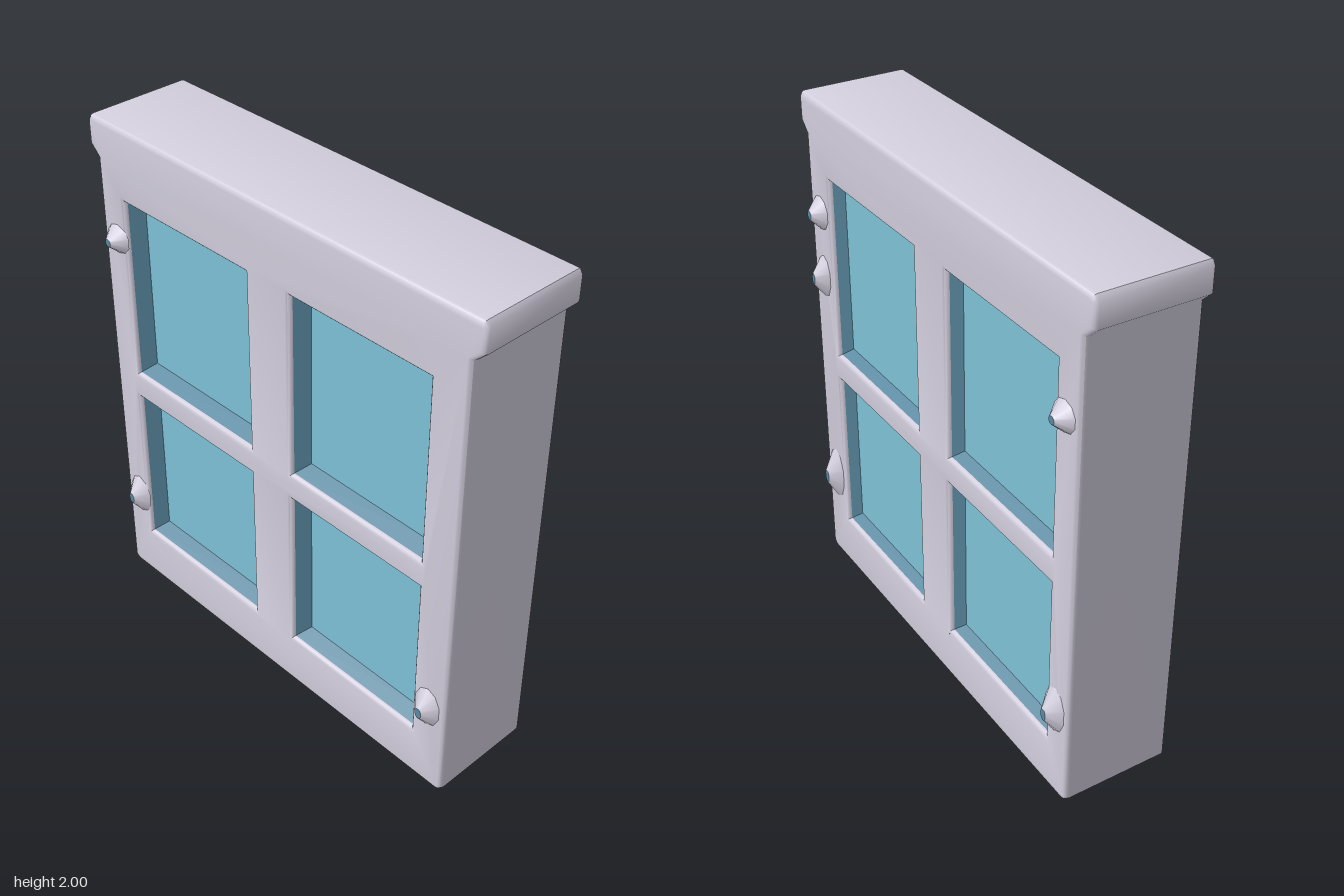
import * as THREE from 'three';
import { toCreasedNormals } from 'three/addons/utils/BufferGeometryUtils.js';

const material = (name, color) => {
  const m = new THREE.MeshStandardMaterial({ color });
  m.name = name;
  return m;
};

const HALF_DEPTH = 0.215;
const BEVEL = 0.018;
const INSET = 0.028;
const OPENINGS = [
  [-0.74, -0.105, 1.0, 1.72], [0.105, 0.715, 1.0, 1.72],
  [-0.74, -0.105, 0.22, 0.89], [0.105, 0.715, 0.22, 0.89],
];
// Glass depth and bumps (x, y, half width, half height) for each face
const FACES = [
  {
    name: 'frontFace', side: 1, recess: 0.055,
    knobs: [[-0.79, 1.56, 0.06, 0.06], [-0.79, 0.39, 0.06, 0.09], [0.785, 0.38, 0.06, 0.09]],
  },
  {
    name: 'backFace', side: -1, recess: 0.035,
    knobs: [[-0.79, 1.55, 0.06, 0.06], [0.79, 1.57, 0.06, 0.07], [0.79, 1.31, 0.05, 0.09],
      [-0.79, 0.38, 0.06, 0.1], [0.79, 0.41, 0.06, 0.12]],
  },
];

// Frame with an overhanging head and four openings
function frameGeometry() {
  const half = [[0.85, 0], [0.87, 0.02], [0.87, 1.85], [0.912, 1.89], [0.912, 1.98], [0.9, 2]];
  const outline = [...half, ...half.map(([x, y]) => [-x, y]).reverse()];
  const shape = new THREE.Shape(outline.map(([x, y]) => new THREE.Vector2(x, y)));
  for (const [x0, x1, y0, y1] of OPENINGS) {
    shape.holes.push(new THREE.Path([[x0, y0], [x0, y1], [x1, y1], [x1, y0]]
      .map(([x, y]) => new THREE.Vector2(x, y))));
  }
  const depth = 2 * (HALF_DEPTH - BEVEL);
  const geometry = new THREE.ExtrudeGeometry(shape, {
    depth, bevelEnabled: true, bevelSize: BEVEL, bevelOffset: -BEVEL,
    bevelThickness: BEVEL, bevelSegments: 3,
  });
  geometry.translate(0, 0, -depth / 2);
  return toCreasedNormals(geometry, 0.85);
}

// Four sloping walls running from the opening down to the glass
function revealGeometry(w, h, recess) {
  const corners = [[-1, -1], [1, -1], [1, 1], [-1, 1]];
  const outer = corners.map(([x, y]) => [x * w / 2, y * h / 2, 0]);
  const inner = corners.map(([x, y]) => [x * (w / 2 - INSET), y * (h / 2 - INSET), -recess]);
  const points = [];
  for (let i = 0; i < 4; i++) {
    const j = (i + 1) % 4;
    points.push(...outer[i], ...outer[j], ...inner[j], ...outer[i], ...inner[j], ...inner[i]);
  }
  const geometry = new THREE.BufferGeometry();
  geometry.setAttribute('position', new THREE.Float32BufferAttribute(points, 3));
  geometry.computeVertexNormals();
  return geometry;
}

export function createModel() {
  const model = new THREE.Group();
  model.name = 'window';
  const paint = material('pale lilac paint', 0xd2cedd);
  const glass = material('light blue glass', 0x7dc0d5);
  const trim = material('dark blue trim', 0x58889f);

  const add = (parent, name, geometry, mat, x = 0, y = 0, z = 0) => {
    const mesh = new THREE.Mesh(geometry, mat);
    mesh.name = name;
    mesh.position.set(x, y, z);
    parent.add(mesh);
    return mesh;
  };

  add(model, 'frame', frameGeometry(), paint);

  // Panes and knobs on both faces; the back is turned half a circle
  for (const { name, side, recess, knobs } of FACES) {
    const face = new THREE.Group();
    face.name = name;
    face.rotation.y = side > 0 ? 0 : Math.PI;
    model.add(face);

    const rim = HALF_DEPTH - BEVEL;
    for (const [x0, x1, y0, y1] of OPENINGS) {
      const w = x1 - x0, h = y1 - y0;
      const x = side * (x0 + x1) / 2, y = (y0 + y1) / 2;
      add(face, 'paneTrim', revealGeometry(w, h, recess), trim, x, y, rim);
      add(face, 'pane', new THREE.PlaneGeometry(w - 2 * INSET, h - 2 * INSET),
        glass, x, y, rim - recess);
    }

    // Low pointed bumps with a small blue tip
    for (const [x, y, halfWidth, halfHeight] of knobs) {
      const knob = new THREE.CylinderGeometry(0.25, 1, 0.05, 10);
      knob.rotateX(Math.PI / 2);
      knob.scale(halfWidth, halfHeight, 1);
      add(face, 'knob', knob, [paint, trim, paint], side * x, y, HALF_DEPTH + 0.022);
    }
  }
  return model;
}
